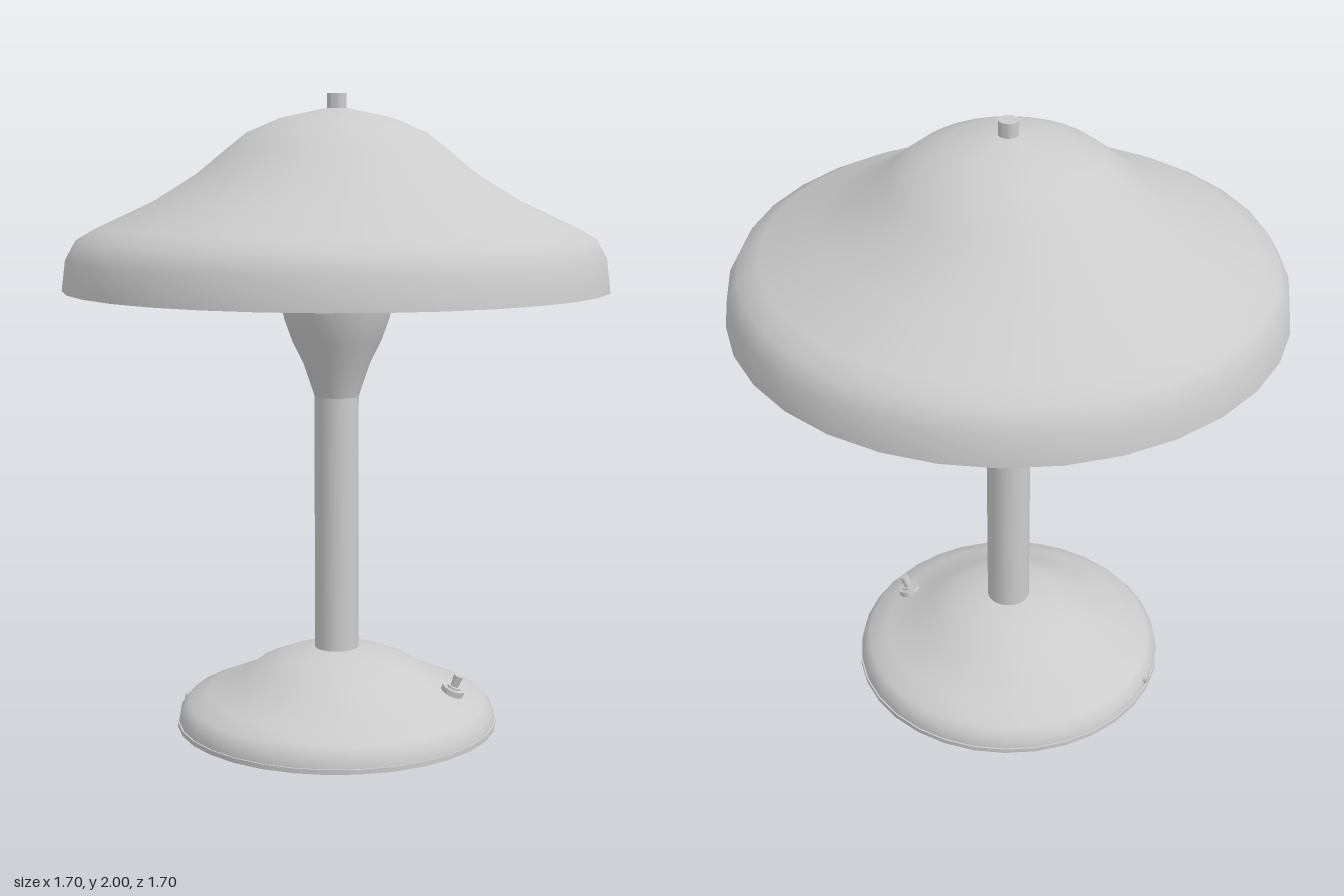
import * as THREE from 'three';
import { toCreasedNormals } from 'three/addons/utils/BufferGeometryUtils.js';

const material = new THREE.MeshStandardMaterial({ color: 0xcccccc });
const SIDES = 32;

function addMesh(parent, name, geometry) {
  const mesh = new THREE.Mesh(toCreasedNormals(geometry, 0.7), material);
  mesh.name = name;
  parent.add(mesh);
  return mesh;
}

// Profile is [radius, height] pairs; outward faces run upwards
function turned(parent, name, profile, sides = SIDES) {
  const points = profile.map(([r, y]) => new THREE.Vector2(r, y));
  return addMesh(parent, name, new THREE.LatheGeometry(points, sides));
}

export function createModel() {
  const lamp = new THREE.Group();
  lamp.name = 'tableLamp';

  // Domed foot with a thin plate under it
  turned(lamp, 'basePlate', [[0, 0], [0.515, 0], [0.515, 0.015], [0, 0.015]]);
  turned(lamp, 'base', [
    [0.51, 0.015], [0.505, 0.045], [0.48, 0.075], [0.415, 0.103], [0.305, 0.152],
    [0.255, 0.188], [0.175, 0.222], [0.07, 0.245], [0, 0.247],
  ]);

  // Stem
  const stem = addMesh(lamp, 'stem', new THREE.CylinderGeometry(0.07, 0.07, 0.84, SIDES));
  stem.position.y = 0.65;

  // Flared cup, hollow at the top
  turned(lamp, 'socketCup', [
    [0, 1.06], [0.07, 1.06], [0.105, 1.165], [0.14, 1.235], [0.165, 1.305], [0.18, 1.37],
    [0.184, 1.41], [0.172, 1.41], [0.153, 1.305], [0.128, 1.235], [0, 1.2],
  ]);

  // Round bulb with its neck going down into the cup
  const bulb = [[0, 1.2], [0.06, 1.2], [0.06, 1.38]];
  for (let i = 0; i <= 14; i++) {
    const a = -1.1 + (i / 14) * (Math.PI / 2 + 1.1);
    bulb.push([0.142 * Math.cos(a), 1.55 + 0.142 * Math.sin(a)]);
  }
  turned(lamp, 'bulb', bulb);

  // Harp: a flat bent band carrying the shade
  const half = [[0.17, 1.37], [0.205, 1.5], [0.24, 1.62], [0.248, 1.7], [0.22, 1.8], [0.14, 1.885]];
  const path = new THREE.CatmullRomCurve3([
    ...half.map(([x, y]) => new THREE.Vector3(x, y, 0)),
    new THREE.Vector3(0, 1.915, 0),
    ...half.slice().reverse().map(([x, y]) => new THREE.Vector3(-x, y, 0)),
  ]);
  const outer = [], inner = [];
  for (let i = 0; i <= 40; i++) {
    const p = path.getPoint(i / 40), t = path.getTangent(i / 40);
    outer.push(new THREE.Vector2(p.x + t.y * 0.006, p.y - t.x * 0.006));
    inner.unshift(new THREE.Vector2(p.x - t.y * 0.006, p.y + t.x * 0.006));
  }
  const band = new THREE.ExtrudeGeometry(new THREE.Shape([...outer, ...inner]), {
    depth: 0.07, bevelEnabled: false,
  });
  band.translate(0, 0, -0.035);
  addMesh(lamp, 'harp', band);

  // Thin bell-shaped shade, outside then inside
  turned(lamp, 'shade', [
    [0.838, 1.4], [0.85, 1.4], [0.838, 1.495], [0.805, 1.555], [0.74, 1.592], [0.566, 1.673],
    [0.434, 1.755], [0.355, 1.82], [0.28, 1.88], [0.175, 1.925], [0.04, 1.954], [0, 1.955],
    [0, 1.94], [0.04, 1.939], [0.17, 1.911], [0.272, 1.868], [0.345, 1.809], [0.426, 1.743],
    [0.56, 1.661], [0.733, 1.58], [0.795, 1.546], [0.826, 1.49], [0.838, 1.4],
  ]);
  const finial = addMesh(lamp, 'finial', new THREE.CylinderGeometry(0.03, 0.03, 0.1, 24));
  finial.position.y = 1.95;

  // Toggle switch standing square to the slope of the foot
  const toggle = new THREE.Group();
  toggle.name = 'toggleSwitch';
  turned(toggle, 'switchCollar', [
    [0, -0.02], [0.037, -0.02], [0.037, 0.014], [0.022, 0.014], [0.022, 0.02], [0, 0.02],
  ], 20);
  turned(toggle, 'switchLever', [[0.011, 0], [0.015, 0.058], [0, 0.06]], 16);
  toggle.position.set(0.38, 0.122, 0);
  toggle.rotation.z = -0.37;
  lamp.add(toggle);

  // Cable outlet on the opposite side of the foot
  const outlet = addMesh(lamp, 'cableOutlet', new THREE.CylinderGeometry(0.016, 0.016, 0.05, 16));
  outlet.rotation.z = Math.PI / 2;
  outlet.position.set(-0.49, 0.037, 0);

  return lamp;
}
